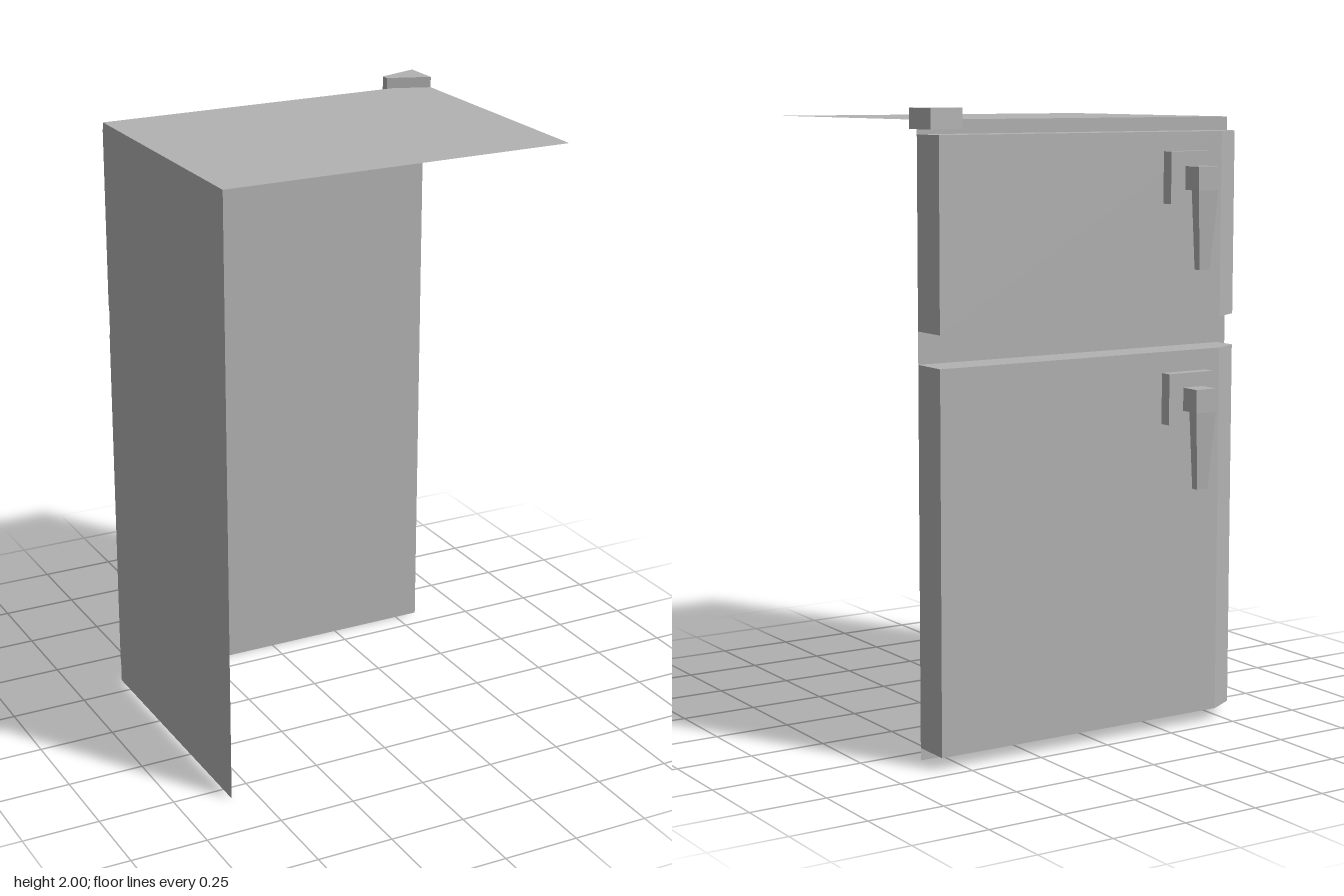
import * as THREE from 'three';

const grey = new THREE.MeshStandardMaterial({ color: 0xb2b2b2, side: THREE.DoubleSide });
grey.name = 'enamel grey';

const W = 0.58, BACK = 0.563, FACE = -0.326, TOP = 1.965, DOOR = -0.455;

// Stack of flat-shaded cross-sections; each ring is [y, [[x, z], ...]]
function loft(name, rings, { closed = true, top = true, bottom = true } = {}) {
  const pos = [];
  const sections = rings.map(([y, pts]) => pts.map(([x, z]) => [x, y, z]));
  const polygon = p => {
    for (let i = 1; i < p.length - 1; i++) pos.push(...p[0], ...p[i], ...p[i + 1]);
  };
  for (let k = 0; k < sections.length - 1; k++) {
    const a = sections[k], b = sections[k + 1], n = a.length;
    for (let i = 0; i < (closed ? n : n - 1); i++) {
      const j = (i + 1) % n;
      polygon([a[i], a[j], b[j], b[i]]);
    }
  }
  if (bottom) polygon([...sections[0]].reverse());
  if (top) polygon(sections[sections.length - 1]);
  const geometry = new THREE.BufferGeometry();
  geometry.setAttribute('position', new THREE.Float32BufferAttribute(pos, 3));
  geometry.computeVertexNormals();
  const mesh = new THREE.Mesh(geometry, grey);
  mesh.name = name;
  return mesh;
}

const rect = (x0, x1, z0, z1) => [[x0, z0], [x0, z1], [x1, z1], [x1, z0]];

// Thin single panel of the cabinet shell
function panel(name, w, h, position, rotation) {
  const mesh = new THREE.Mesh(new THREE.PlaneGeometry(w, h), grey);
  mesh.name = name;
  mesh.position.set(...position);
  mesh.rotation.set(...rotation);
  return mesh;
}

// Door with one chamfered edge, open against the cabinet
function door(name, y0, y1, bottom) {
  const outline = [[W, FACE], [W, DOOR], [-0.46, DOOR], [-0.55, -0.405], [-0.55, FACE]];
  return loft(name, [[y0, outline], [y1, outline]], { closed: false, bottom });
}

// Mounting plate, stem and tapering grip, measured from the grip's lower end
function handle(name, y) {
  const group = new THREE.Group();
  group.name = name;
  const cx = -0.327;
  const plate = rect(-0.406, -0.234, -0.495, DOOR);
  const stem = rect(cx - 0.038, cx + 0.038, -0.565, -0.495);
  group.add(
    loft('handlePlate', [[0.205, plate], [0.368, plate]]),
    loft('handleStem', [[0.248, stem], [0.322, stem]]),
    loft('handleGrip', [
      [0, rect(cx - 0.02, cx + 0.02, -0.549, -0.523)],
      [0.248, rect(cx - 0.038, cx + 0.038, -0.565, -0.528)],
    ], { top: false })
  );
  group.position.y = y;
  return group;
}

export function createModel() {
  const model = new THREE.Group();
  model.name = 'refrigerator';
  const depth = BACK - FACE, midZ = (BACK + FACE) / 2;

  // Cabinet: three panels, open behind, below and on the hinge side
  const cabinet = new THREE.Group();
  cabinet.name = 'cabinet';
  cabinet.add(
    panel('cabinetTop', 2 * W, depth, [0, TOP, midZ], [-Math.PI / 2, 0, 0]),
    panel('cabinetSide', depth, TOP, [-W, TOP / 2, midZ], [0, -Math.PI / 2, 0]),
    panel('cabinetFace', 2 * W, TOP, [0, TOP / 2, FACE], [0, Math.PI, 0])
  );
  model.add(cabinet);

  model.add(door('lowerDoor', 0.04, 1.232, false), door('freezerDoor', 1.333, 1.922, true));
  model.add(handle('lowerHandle', 0.797), handle('freezerHandle', 1.494));

  // Wedge-shaped hinge cover on the top corner
  const wedge = [[0.441, -0.36], [0.441, -0.332], [W, -0.281], [W, -0.408]];
  model.add(loft('hingeCover', [[1.937, wedge], [2, wedge]]));
  return model;
}
